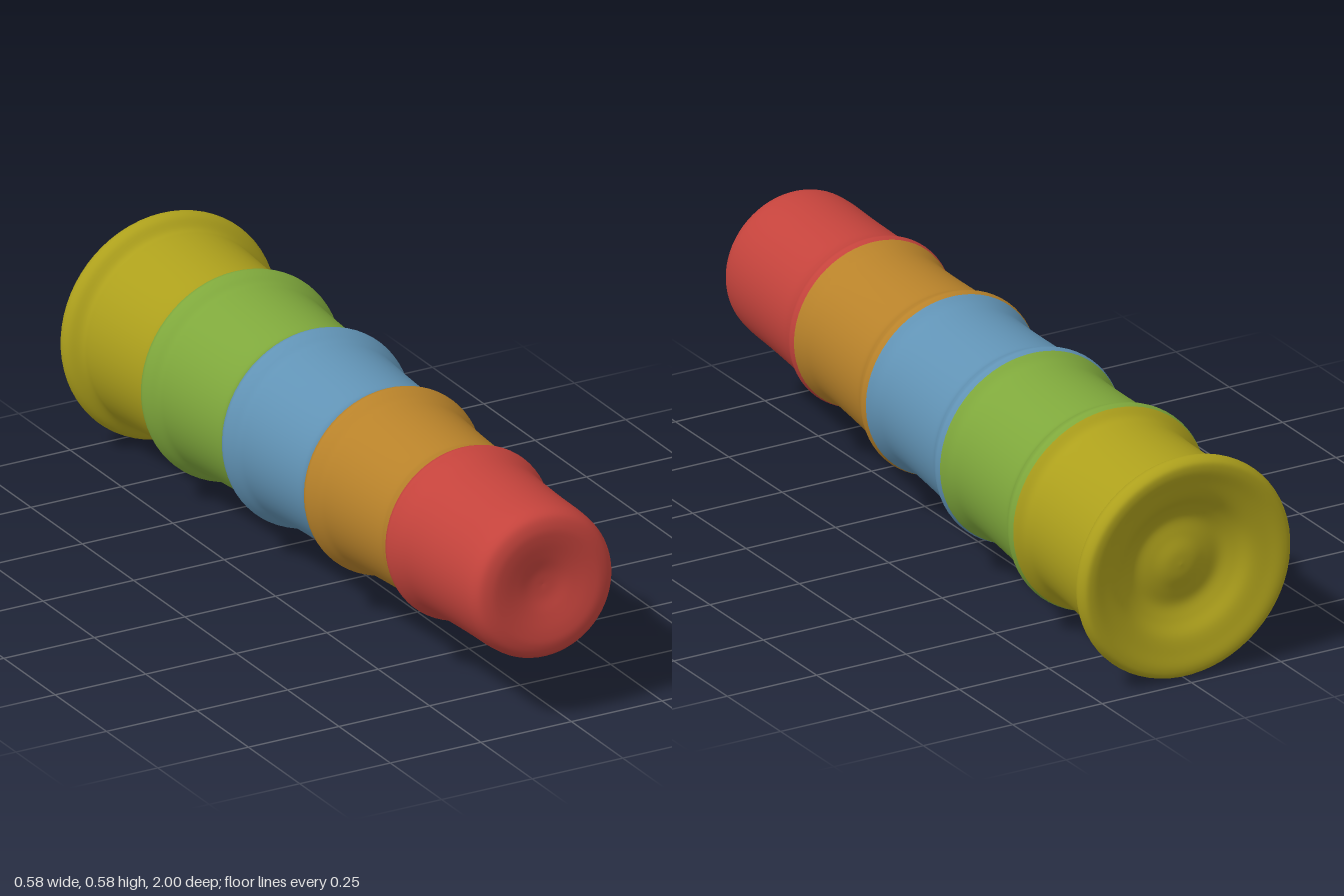
import * as THREE from 'three';

const SIDES = 64;

// Smooth turned part: points are [radius, position along the axis], back to front
function turned(name, color, points) {
  const curve = new THREE.CatmullRomCurve3(
    points.map(([r, t]) => new THREE.Vector3(r, t, 0)), false, 'centripetal');
  const profile = curve.getPoints(points.length * 5)
    .map(p => new THREE.Vector2(Math.max(p.x, 0), p.y));
  const mesh = new THREE.Mesh(
    new THREE.LatheGeometry(profile, SIDES),
    new THREE.MeshStandardMaterial({ color }));
  mesh.name = name;
  return mesh;
}

// Cup wall from the rim peak forward to where it enters the next cup's rim
function wall(rim, next) {
  return [
    [rim.r - 0.004, rim.t - 0.014], [rim.r, rim.t],
    [rim.r - 0.007, rim.t + 0.02], [rim.neck + 0.004, rim.t + 0.045],
    [rim.neck, rim.t + 0.075],
    [next.foot, next.t - 0.06], [next.foot + 0.005, next.t - 0.036],
    [next.r - 0.004, next.t - 0.014],
  ];
}

export function createModel() {
  const model = new THREE.Group();
  model.name = 'stackedCups';

  // Rim peaks from the largest cup to the smallest: neck lies in front, foot behind
  const rims = [
    { r: 0.29, t: -0.962, neck: 0.253 },
    { r: 0.27, t: -0.585, neck: 0.245, foot: 0.243 },
    { r: 0.255, t: -0.195, neck: 0.232, foot: 0.234 },
    { r: 0.24, t: 0.2, neck: 0.218, foot: 0.221 },
    { r: 0.2225, t: 0.588, neck: 0.204, foot: 0.207 },
  ];

  // Large cup with its recessed open end and the raised middle inside it
  const mouth = [
    [0, -0.952], [0.035, -0.949], [0.075, -0.938], [0.115, -0.932],
    [0.15, -0.946], [0.185, -0.968], [0.225, -0.98], [0.26, -0.988],
    [0.28, -0.984],
  ];
  model.add(turned('yellowCup', 0xada01c,
    [...mouth, ...wall(rims[0], rims[1]).slice(1)]));

  // Middle cups
  [['greenCup', 0x7fa83c], ['blueCup', 0x6193b5], ['orangeCup', 0xb8822a]]
    .forEach(([name, color], i) =>
      model.add(turned(name, color, wall(rims[i + 1], rims[i + 2]))));

  // Smallest cup with a rounded edge and a shallow dimple in its closed end
  const last = rims[4];
  model.add(turned('redCup', 0xc4433c, [
    [last.r - 0.004, last.t - 0.014], [last.r, last.t],
    [last.r - 0.007, last.t + 0.02], [last.neck + 0.004, last.t + 0.045],
    [last.neck, last.t + 0.075], [0.198, 0.8], [0.195, 0.93],
    [0.19, 0.962], [0.177, 0.983], [0.15, 0.993], [0.12, 0.992],
    [0.075, 0.983], [0.035, 0.973], [0, 0.97],
  ]));

  // Lay the stack down along its slightly tilted axis
  const axis = new THREE.Vector3(-0.032, 0.0375, 1).normalize();
  model.quaternion.setFromUnitVectors(new THREE.Vector3(0, 1, 0), axis);
  model.position.set(-0.031, 0.3265, 0);

  const root = new THREE.Group();
  root.name = 'cupTower';
  root.add(model);
  return root;
}
